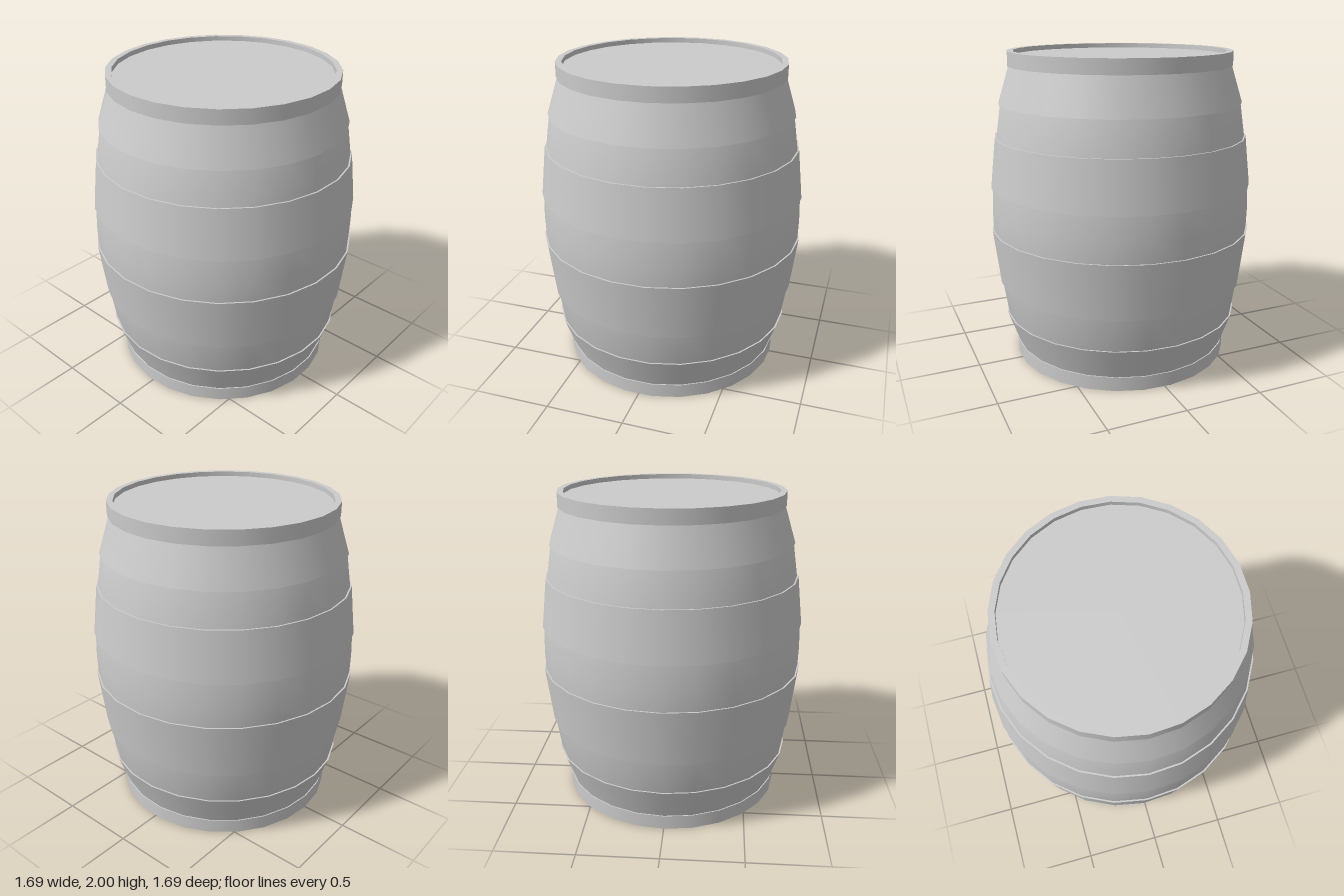
import * as THREE from 'three';
import { mergeGeometries } from 'three/addons/utils/BufferGeometryUtils.js';

const SIDES = 25;
const material = new THREE.MeshStandardMaterial({ color: 0xcccccc });

// Lathe around y with one corner pointing to the back (-z)
const lathe = (points) => new THREE.LatheGeometry(
  points.map(([r, y]) => new THREE.Vector2(r, y)), SIDES, Math.PI);

// Lathe that is smooth around but sharp at every profile corner
const sharpLathe = (points) => mergeGeometries(
  points.slice(1).map((p, i) => lathe([points[i], p])));

export function createModel() {
  const barrel = new THREE.Group();
  barrel.name = 'barrel';
  const add = (name, geometry) => {
    const mesh = new THREE.Mesh(geometry, material);
    mesh.name = name;
    barrel.add(mesh);
  };

  // Bulging wooden wall
  add('staves', lathe([
    [0.69, 0.05], [0.765, 0.295], [0.797, 0.51], [0.823, 0.7], [0.838, 0.87],
    [0.841, 1.0], [0.835, 1.155], [0.818, 1.32], [0.798, 1.47], [0.766, 1.68], [0.69, 1.95],
  ]));

  // Bottom rim with its flat base, top rim with the recessed lid
  add('bottomRim', sharpLathe([[0, 0], [0.71, 0], [0.71, 0.09], [0.68, 0.09]]));
  add('topRim', sharpLathe([[0.68, 1.91], [0.71, 1.91], [0.71, 2], [0.672, 2], [0.672, 1.97]]));
  add('lid', sharpLathe([[0.672, 1.97], [0, 1.97]]));

  // Hoops: lower y, lower radius, upper y, upper radius
  const hoops = [
    ['bottomHoop', 0.09, 0.703, 0.295, 0.775],
    ['lowerHoop', 0.51, 0.806, 0.87, 0.848],
    ['upperHoop', 1.155, 0.844, 1.47, 0.808],
    ['topHoop', 1.68, 0.775, 1.91, 0.703],
  ];
  for (const [name, y0, r0, y1, r1] of hoops) {
    add(name, sharpLathe([[r0 - 0.03, y0], [r0, y0], [r1, y1], [r1 - 0.03, y1]]));
  }

  // An odd number of sides sits slightly off centre
  barrel.position.z = 0.003;
  return barrel;
}
